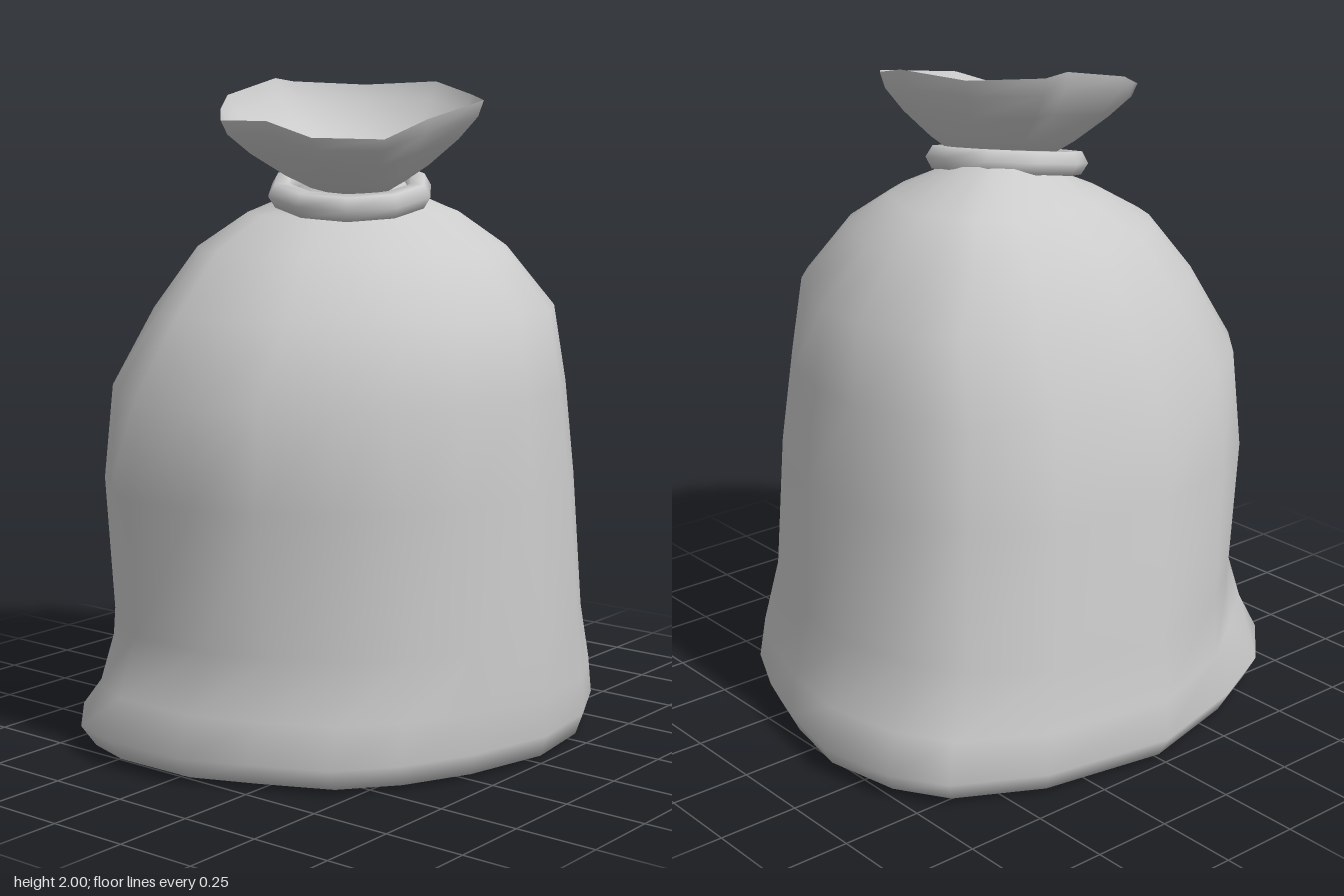
import * as THREE from 'three';

const material = new THREE.MeshStandardMaterial({ color: 0xcccccc, side: THREE.DoubleSide });
const V = (x, y, z) => new THREE.Vector3(x, y, z);

// Skin a stack of equal-length rings, closing the first ring with a centre point
function loft(name, rings, floor) {
  const n = rings[0].length;
  const index = [];
  for (let i = 0; i < rings.length - 1; i++) {
    for (let j = 0; j < n; j++) {
      const a = i * n + j, b = i * n + (j + 1) % n;
      index.push(a, a + n, b, b, a + n, b + n);
    }
  }
  const centre = rings.length * n;
  for (let j = 0; j < n; j++) index.push(centre, j, (j + 1) % n);
  const geometry = new THREE.BufferGeometry().setFromPoints([...rings.flat(), floor]);
  geometry.setIndex(index);
  geometry.computeVertexNormals();
  const mesh = new THREE.Mesh(geometry, material);
  mesh.name = name;
  return mesh;
}

// Footprint of the slumped base, as x, z
const footprint = [
  [0, -0.76], [0.41, -0.69], [0.67, -0.55], [0.77, -0.39], [0.817, -0.14],
  [0.77, 0.1], [0.7, 0.31], [0.61, 0.5], [0.5, 0.61], [0.28, 0.72],
  [0.02, 0.757], [-0.26, 0.69], [-0.47, 0.59], [-0.63, 0.46], [-0.73, 0.25],
  [-0.815, 0.05], [-0.82, -0.23], [-0.77, -0.39], [-0.6, -0.56], [-0.36, -0.67],
];

// Body sections: y, right x, left x, front z, back z, roundness, neck tilt, dent
const sections = [
  [0.015, -0.775, 0.78, 0.735, -0.72, 0, 0, 0],
  [0.08, -0.82, 0.817, 0.757, -0.757, 0, 0, 0.01],
  [0.2, -0.785, 0.782, 0.757, -0.74, 0.25, 0, 0.08],
  [0.38, -0.745, 0.705, 0.757, -0.71, 0.8, 0, 0.03],
  [0.8, -0.787, 0.68, 0.735, -0.675, 1, 0, 0],
  [1.09, -0.788, 0.625, 0.722, -0.615, 1, 0, 0],
  [1.32, -0.655, 0.578, 0.67, -0.52, 1, 0, 0],
  [1.5, -0.5, 0.435, 0.525, -0.405, 1, 0, 0],
  [1.6, -0.32, 0.325, 0.355, -0.28, 1, 0, 0],
  [1.65, -0.27, 0.11, 0.29, -0.09, 1, 1, 0],
  [1.7, -0.22, 0.05, 0.26, -0.02, 1, 1, 0],
];

const SLOPE_X = 0.16, SLOPE_Z = -0.12; // lean of the tied neck

function bodyRing([y, x0, x1, z1, z0, round, tilt, dent]) {
  const cx = (x0 + x1) / 2, cz = (z0 + z1) / 2;
  return footprint.map(([fx, fz]) => {
    const nx = fx / 0.8185, nz = fz / 0.7585;
    const angle = Math.atan2(nz, nx);
    const c = Math.cos(angle), s = Math.sin(angle);
    const pinch = 1 - dent * Math.exp(-(((angle + 2.3) / 0.3) ** 2));
    const sag = 1 - 0.09 * c * s * (c - s); // fuller back left, flatter front right
    const dx = THREE.MathUtils.lerp(nx, c * sag, round) * pinch * (x1 - x0) / 2;
    const dz = THREE.MathUtils.lerp(nz, s * sag, round) * pinch * (z1 - z0) / 2;
    return V(cx + dx, y + tilt * (SLOPE_X * dx + SLOPE_Z * dz), cz + dz);
  });
}

// Uneven rim of the open mouth
const rim = [
  [-0.52, 1.88, -0.03], [-0.42, 1.91, -0.12], [-0.31, 1.95, -0.19], [-0.05, 2.0, -0.225],
  [0.03, 1.99, -0.22], [0.19, 1.98, -0.06], [0.26, 1.99, 0.16], [0.2, 1.95, 0.34],
  [0.13, 1.935, 0.43], [-0.2, 1.885, 0.47], [-0.35, 1.83, 0.43], [-0.49, 1.835, 0.28],
  [-0.53, 1.88, 0.15],
];

// Mouth section: a round neck blended outwards and upwards to the rim
function mouthRing(spread, rise) {
  return rim.map(([x, y, z]) => {
    const angle = Math.atan2(z - 0.12, x + 0.13);
    const dx = 0.15 * Math.cos(angle), dz = 0.15 * Math.sin(angle);
    const neck = V(-0.09 + dx, 1.695 + SLOPE_X * dx + SLOPE_Z * dz, 0.12 + dz);
    return V(
      THREE.MathUtils.lerp(neck.x, x, spread),
      THREE.MathUtils.lerp(neck.y, y, rise),
      THREE.MathUtils.lerp(neck.z, z, spread),
    );
  });
}

export function createModel() {
  const model = new THREE.Group();
  model.name = 'sack';

  // Slumped cloth body with a nearly flat underside
  model.add(loft('body', sections.map(bodyRing), V(0, 0, 0)));

  // Tie wrapped around the neck
  const tieGeometry = new THREE.TorusGeometry(0.21, 0.041, 6, 10);
  tieGeometry.rotateX(Math.PI / 2);
  const tie = new THREE.Mesh(tieGeometry, material);
  tie.name = 'neckTie';
  tie.position.set(-0.12, 1.67, 0.125);
  tie.quaternion.setFromUnitVectors(V(0, 1, 0), V(-SLOPE_X, 1, -SLOPE_Z).normalize());
  model.add(tie);

  // Flared cloth above the tie
  const mouthRings = [[0, 0], [0.3, 0.2], [0.68, 0.52], [0.93, 0.8], [1, 1]].map(([s, r]) => mouthRing(s, r));
  model.add(loft('mouth', mouthRings, V(-0.09, 1.69, 0.12)));

  // Gathered cloth closing the inside of the mouth
  const liningRings = [[0.15, 0.22], [0.6, 0.5], [0.9, 0.8], [1, 1]].map(([s, r]) => mouthRing(s, r));
  model.add(loft('mouthLining', liningRings, V(-0.1, 1.73, 0.125)));

  return model;
}
